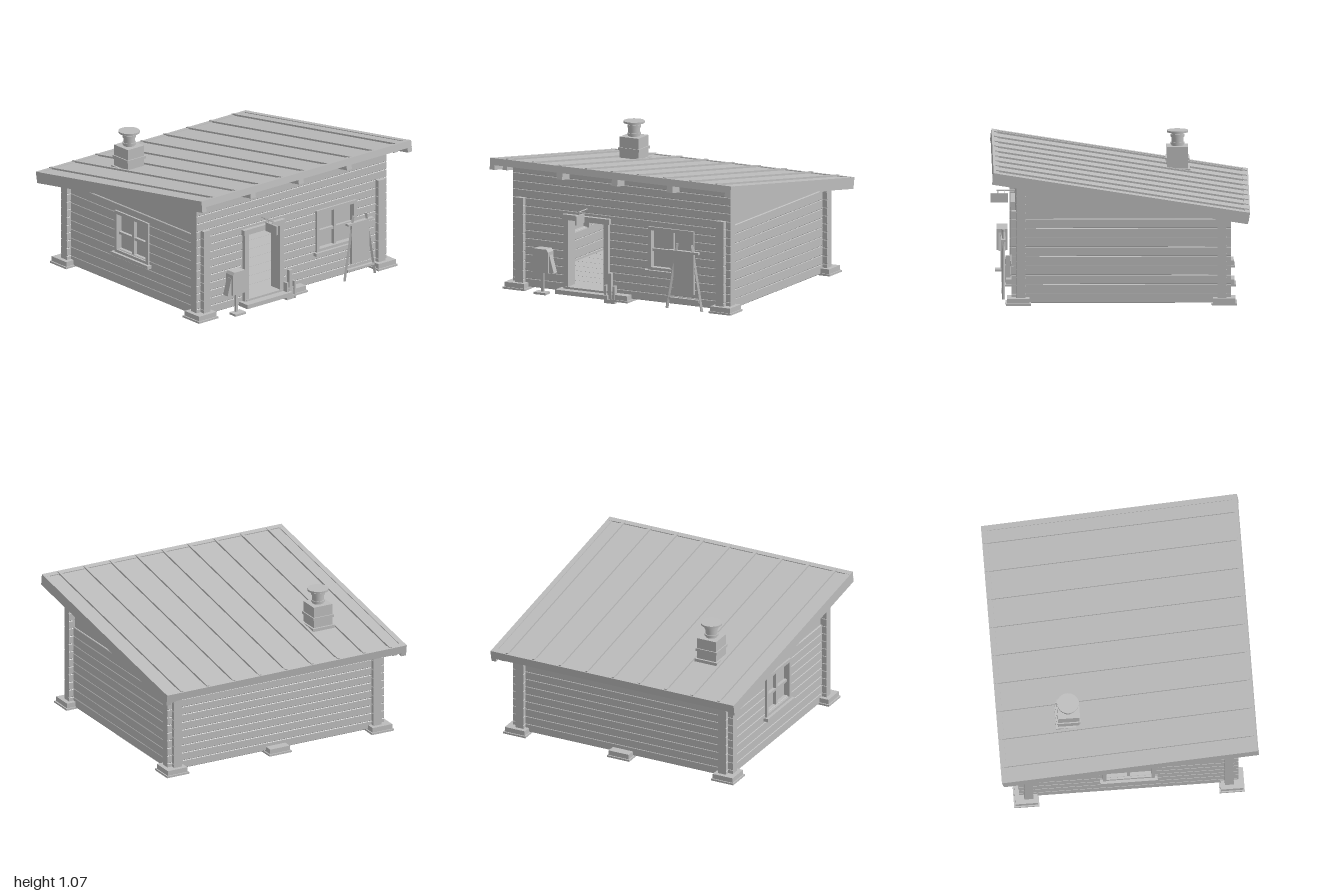
import * as THREE from 'three';

const grey = new THREE.MeshStandardMaterial({ color: 0xbcbcbc });
grey.name = 'plain grey';

const SLOPE = 0.158;
const underRoof = z => 0.82 + SLOPE * z;

function add(parent, name, geo) {
  const m = new THREE.Mesh(geo, grey);
  m.name = name;
  parent.add(m);
  return m;
}

// box given by its limits on each axis
function box(parent, name, x0, x1, y0, y1, z0, z1) {
  const m = add(parent, name, new THREE.BoxGeometry(x1 - x0, y1 - y0, z1 - z0));
  m.position.set((x0 + x1) / 2, (y0 + y1) / 2, (z0 + z1) / 2);
  return m;
}

// round or square bar between two points
function bar(parent, name, a, b, r, sides = 4) {
  const p = new THREE.Vector3(...a), q = new THREE.Vector3(...b);
  const m = add(parent, name, new THREE.CylinderGeometry(r, r, p.distanceTo(q), sides).toNonIndexed());
  m.geometry.computeVertexNormals();
  m.position.copy(p).add(q).multiplyScalar(0.5);
  m.quaternion.setFromUnitVectors(new THREE.Vector3(0, 1, 0), q.sub(p).normalize());
  return m;
}

// log with chamfered long edges, lying along x
function logGeometry(length, height, depth) {
  const c = 0.004, h = height / 2, d = depth / 2;
  const s = new THREE.Shape([
    [-d, -h + c], [-d + c, -h], [d - c, -h], [d, -h + c],
    [d, h - c], [d - c, h], [-d + c, h], [-d, h - c],
  ].map(p => new THREE.Vector2(...p)));
  return new THREE.ExtrudeGeometry(s, { depth: length, bevelEnabled: false })
    .translate(0, 0, -length / 2).rotateY(Math.PI / 2);
}

// stacked logs along x, with openings {a, b, y0, y1}
function logWall(name, half, bottom, top, step, openings = []) {
  const wall = new THREE.Group();
  wall.name = name;
  for (let y = bottom; y < top - 0.01; y += step) {
    const h = Math.min(step, top - y), mid = y + h / 2;
    let start = -half;
    const piece = end => {
      const m = add(wall, 'wallLog', logGeometry(end - start, h, 0.066));
      m.position.set((start + end) / 2, mid, 0);
    };
    for (const o of openings) {
      if (mid < o.y0 || mid > o.y1) continue;
      piece(o.a);
      start = o.b;
    }
    piece(half);
  }
  return wall;
}

// four-pane window facing +z, centred on x = 0
function windowUnit() {
  const g = new THREE.Group();
  g.name = 'window';
  const w = 0.19, y0 = 0.27, y1 = 0.595;
  box(g, 'windowPane', -w, w, y0, y1, -0.004, 0.004);
  for (const s of [-1, 1]) {
    box(g, 'windowSideFrame', s * (w - 0.0125) - 0.0125, s * (w - 0.0125) + 0.0125, y0, y1, -0.05, 0.05);
  }
  box(g, 'windowTopFrame', -w, w, y1 - 0.025, y1, -0.05, 0.048);
  box(g, 'windowBottomFrame', -w, w, y0, y0 + 0.025, -0.05, 0.048);
  box(g, 'windowMullion', -0.011, 0.011, y0, y1, -0.02, 0.03);
  box(g, 'windowCrossbar', -w, w, 0.412, 0.432, -0.02, 0.028);
  box(g, 'windowSill', -w - 0.02, w + 0.02, 0.25, 0.275, -0.03, 0.07);
  return g;
}

function buildWalls(root) {
  const front = logWall('frontWall', 0.904, 0.037, 0.93, 0.06, [
    { a: -0.45, b: -0.115, y0: 0.06, y1: 0.6 },
    { a: 0.24, b: 0.6, y0: 0.27, y1: 0.59 },
  ]);
  front.position.z = 0.7325;
  const back = logWall('backWall', 0.904, 0.037, 0.7, 0.06);
  back.position.z = -0.7325;
  const left = logWall('leftWall', 0.8, 0.025, 0.645, 0.0689);
  const right = logWall('rightWall', 0.8, 0.025, 0.645, 0.0689, [{ a: -0.18, b: 0.18, y0: 0.27, y1: 0.59 }]);
  left.rotation.y = right.rotation.y = -Math.PI / 2;
  left.position.x = 0.833;
  right.position.x = -0.833;
  root.add(front, back, left, right);

  // smooth gable panels under the roof slope
  for (const s of [-1, 1]) {
    const shape = new THREE.Shape([
      new THREE.Vector2(-0.73, 0.64), new THREE.Vector2(0.76, 0.64),
      new THREE.Vector2(0.76, underRoof(-0.76)), new THREE.Vector2(-0.73, underRoof(0.73)),
    ]);
    const geo = new THREE.ExtrudeGeometry(shape, { depth: 0.05, bevelEnabled: false })
      .translate(0, 0, -0.025).rotateY(Math.PI / 2);
    add(root, 'gablePanel', geo).position.x = s * 0.83;
    // raised log ends beside the gable
    box(root, 'cornerLogEnd', s * 0.833 - 0.033, s * 0.833 + 0.033, 0.645, 0.7, 0.7, 0.8);
  }

  const frontWindow = windowUnit();
  frontWindow.position.set(0.417, 0, 0.7325);
  const sideWindow = windowUnit();
  sideWindow.rotation.y = -Math.PI / 2;
  sideWindow.position.x = -0.833;
  root.add(frontWindow, sideWindow);
}

function buildRoof(root) {
  const roof = new THREE.Group();
  roof.name = 'roof';
  roof.position.y = 0.863;
  roof.rotation.x = -Math.atan(SLOPE);
  root.add(roof);
  box(roof, 'roofDeck', -0.99, 0.99, -0.042, -0.01, -0.94, 0.935);
  for (let i = -4; i <= 4; i++) box(roof, 'roofRib', i * 0.2175 - 0.01, i * 0.2175 + 0.01, -0.011, 0.003, -0.94, 0.925);
  box(roof, 'frontFascia', -1, 1, -0.055, -0.004, 0.9, 0.942);
  box(roof, 'backFascia', -1, 1, -0.065, -0.004, -0.949, -0.907);
  for (const s of [-1, 1]) {
    box(roof, 'bargeBoard', s * 0.98 - 0.02, s * 0.98 + 0.02, -0.09, -0.005, -0.947, 0.94);
    box(roof, 'gableBatten', s * 0.922 - 0.018, s * 0.922 + 0.018, -0.09, -0.04, -0.92, 0.85);
  }
  for (const x of [-0.458, 0, 0.458]) box(roof, 'rafter', x - 0.024, x + 0.024, -0.11, -0.04, -0.87, 0.87);
}

function buildChimney(root) {
  const g = new THREE.Group();
  g.name = 'chimney';
  g.position.set(-0.547, 0, -0.42);
  root.add(g);
  const tier = (name, w, y0, y1) => box(g, name, -w / 2, w / 2, y0, y1, -w / 2, w / 2);
  tier('chimneyFlashing', 0.185, 0.74, 0.795);
  tier('chimneyBase', 0.155, 0.74, 0.955);
  tier('chimneyBand', 0.172, 0.855, 0.875);
  const ring = (name, r, y0, y1) =>
    add(g, name, new THREE.CylinderGeometry(r, r, y1 - y0, 32)).position.set(0, (y0 + y1) / 2, 0);
  ring('chimneyPipe', 0.043, 0.95, 1.06);
  ring('lowerPipeRing', 0.05, 0.965, 0.98);
  ring('upperPipeRing', 0.05, 1.02, 1.04);
  ring('chimneyCap', 0.078, 1.054, 1.068);
}

function buildBase(root) {
  // stone pads under corners and middle
  for (const x of [-0.855, 0, 0.855]) for (const z of [-0.75, 0.75]) {
    box(root, 'footingPlate', x - 0.092, x + 0.092, 0.018, 0.032, z - 0.092, z + 0.092);
    box(root, 'footingBlock', x - 0.082, x + 0.082, 0.03, 0.068, z - 0.082, z + 0.082);
  }
  // planked floor and its joist
  for (let i = 0; i < 10; i++) box(root, 'floorPlank', -0.81, 0.81, 0.06, 0.075, -0.71 + i * 0.142, -0.571 + i * 0.142);
  box(root, 'floorJoist', -0.025, 0.025, 0.025, 0.062, -0.72, 0.72);
}

function buildDoor(root) {
  box(root, 'leftDoorPost', -0.134, -0.096, 0.06, 0.6, 0.69, 0.795);
  box(root, 'rightDoorPost', -0.468, -0.43, 0.06, 0.6, 0.69, 0.795);
  box(root, 'doorLintel', -0.478, -0.086, 0.575, 0.615, 0.69, 0.798);
  box(root, 'threshold', -0.46, -0.1, 0.05, 0.077, 0.69, 0.8);
  box(root, 'doorStep', -0.5, -0.07, 0.03, 0.062, 0.76, 0.86);
  // hanging board above the door
  bar(root, 'signBracket', [-0.285, 0.668, 0.76], [-0.285, 0.668, 0.9], 0.005);
  for (const z of [0.84, 0.89]) bar(root, 'signHanger', [-0.285, 0.64, z], [-0.285, 0.67, z], 0.003);
  box(root, 'hangingSign', -0.292, -0.278, 0.578, 0.645, 0.817, 0.942);
}

function buildYardItems(root) {
  // letter box on a post
  const post = new THREE.Group();
  post.name = 'postBox';
  post.position.set(-0.604, 0, 0.857);
  root.add(post);
  box(post, 'postBoxFoot', -0.05, 0.05, 0.022, 0.038, -0.02, 0.052);
  box(post, 'postBoxStem', -0.009, 0.009, 0.03, 0.2, -0.01, 0.01);
  const outline = (pts, depth) => new THREE.ExtrudeGeometry(
    new THREE.Shape(pts.map(p => new THREE.Vector2(...p))), { depth, bevelEnabled: false }).translate(0, 0, -depth / 2);
  add(post, 'postBoxBody', outline([[-0.065, 0.185], [0.065, 0.185], [0.065, 0.34], [0.05, 0.36], [-0.05, 0.36], [-0.065, 0.34]], 0.08));
  add(post, 'postBoxWings', outline([[-0.104, 0.185], [0.104, 0.185], [0.068, 0.315], [-0.068, 0.315]], 0.05));

  // boot scraper beside the step
  box(root, 'scraperPost', -0.078, -0.048, 0, 0.223, 0.805, 0.835);
  box(root, 'scraperRail', -0.106, -0.02, 0, 0.02, 0.8, 0.838);
  box(root, 'scraperBar', -0.106, -0.02, 0.075, 0.09, 0.808, 0.832);
  for (const x of [-0.098, -0.028]) box(root, 'scraperSide', x - 0.008, x + 0.008, 0, 0.132, 0.8, 0.84);

  // standing board on splayed legs
  const easel = new THREE.Group();
  easel.name = 'easel';
  easel.position.set(0.572, 0, 0.857);
  root.add(easel);
  for (const s of [-1, 1]) bar(easel, 'easelLeg', [s * 0.145, 0.025, 0], [s * 0.06, 0.512, 0], 0.012);
  box(easel, 'easelBoard', -0.084, 0.084, 0.145, 0.46, -0.008, 0.012);
  box(easel, 'easelTopBar', -0.124, 0.124, 0.448, 0.464, -0.014, 0.018);
  box(easel, 'easelLowerBar', -0.125, 0.125, 0.093, 0.11, -0.012, 0.014);
}

export function createModel() {
  const root = new THREE.Group();
  root.name = 'logCabin';
  buildBase(root);
  buildWalls(root);
  buildRoof(root);
  buildChimney(root);
  buildDoor(root);
  buildYardItems(root);
  return root;
}
